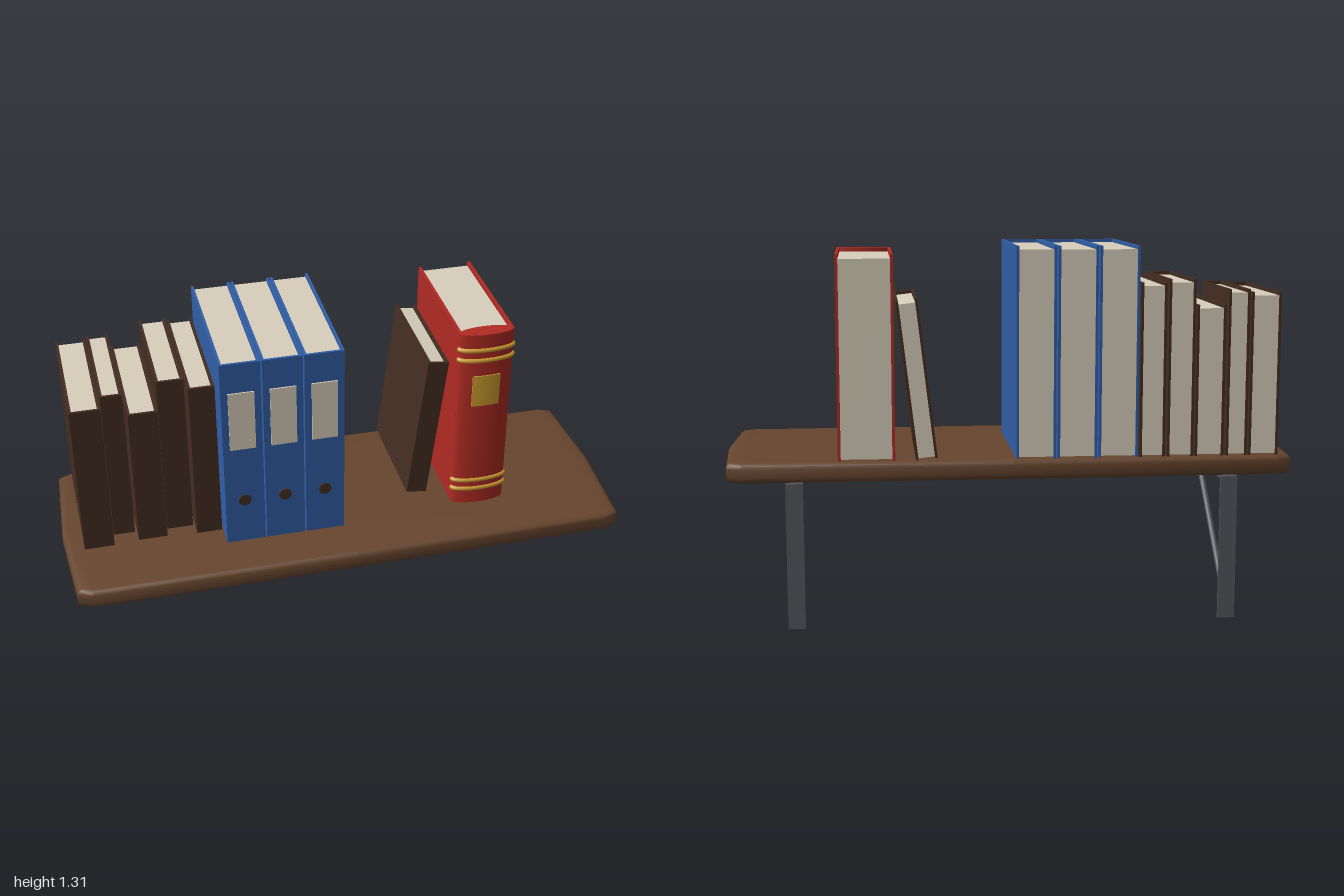
import * as THREE from 'three';
import { toCreasedNormals } from 'three/addons/utils/BufferGeometryUtils.js';

const mat = (name, color) => {
  const m = new THREE.MeshStandardMaterial({ color });
  m.name = name;
  return m;
};

export function createModel() {
  const wood = mat('wood', 0x66452e), leather = mat('dark leather', 0x432d22);
  const paper = mat('paper', 0xd8cfbc), blue = mat('blue card', 0x315fa6);
  const red = mat('red cloth', 0xb02b23), gold = mat('gold', 0xcb9a2f);
  const metal = mat('metal', 0x54565c);

  const root = new THREE.Group();
  root.name = 'bookshelf';

  const group = (name, parent = root) => {
    const g = new THREE.Group();
    g.name = name;
    parent.add(g);
    return g;
  };
  const add = (parent, name, geo, material) => {
    const m = new THREE.Mesh(geo, material);
    m.name = name;
    parent.add(m);
    return m;
  };
  // Box given by its lower and upper limits on each axis
  const box = (parent, name, material, [x0, x1], [y0, y1], [z0, z1]) => {
    const geo = new THREE.BoxGeometry(x1 - x0, y1 - y0, z1 - z0);
    geo.translate((x0 + x1) / 2, (y0 + y1) / 2, (z0 + z1) / 2);
    return add(parent, name, geo, material);
  };

  // Shelf board: bulging outline, clipped corners, rounded rim
  const outline = new THREE.Shape([
    [-0.93, -0.367], [0, -0.372], [0.93, -0.367], [0.98, -0.345], [1, 0],
    [0.98, 0.345], [0.93, 0.367], [0, 0.372], [-0.93, 0.367], [-0.98, 0.345],
    [-1, 0], [-0.98, -0.345],
  ].map(([x, y]) => new THREE.Vector2(x, y)));
  const board = new THREE.ExtrudeGeometry(outline, {
    depth: 0.03, bevelSize: 0.02, bevelThickness: 0.02, bevelOffset: -0.02, bevelSegments: 3,
  });
  board.rotateX(-Math.PI / 2).translate(0, 0.53, 0);
  add(root, 'shelfBoard', toCreasedNormals(board, 0.6), wood);

  // Wall brackets with a diagonal strut
  for (const [name, x] of [['rightBracket', -0.755], ['leftBracket', 0.75]]) {
    const g = group(name);
    const w = [x - 0.03, x + 0.03];
    box(g, 'wallPlate', metal, w, [0, 0.51], [-0.375, -0.366]);
    box(g, 'shelfPlate', metal, w, [0.5, 0.51], [-0.37, 0.25]);
    const a = new THREE.Vector3(x, 0.05, -0.366), b = new THREE.Vector3(x, 0.495, 0.125);
    const strut = add(g, 'strut', new THREE.CylinderGeometry(0.011, 0.011, a.distanceTo(b), 12), metal);
    strut.position.copy(a).lerp(b, 0.5);
    strut.quaternion.setFromUnitVectors(new THREE.Vector3(0, 1, 0), b.clone().sub(a).normalize());
  }

  // Square-backed book: two boards, a spine and a recessed page block
  const book = (name, cover, w, h, front, parent = root) => {
    const g = group(name, parent);
    const t = 0.009, back = -0.357;
    box(g, 'rightCover', cover, [-w / 2, -w / 2 + t], [0, h], [back, front]);
    box(g, 'leftCover', cover, [w / 2 - t, w / 2], [0, h], [back, front]);
    box(g, 'spine', cover, [-w / 2 + t, w / 2 - t], [0, h], [front - t, front]);
    box(g, 'pages', paper, [-w / 2 + t, w / 2 - t], [0.006, h - 0.012], [back + 0.004, front - t]);
    return g;
  };

  const top = 0.58;
  // Row of dark books: x limits, top, front
  [
    [-0.93, -0.825, 1.15, 0.12], [-0.82, -0.745, 1.16, 0.06], [-0.737, -0.635, 1.107, 0.11],
    [-0.63, -0.537, 1.196, 0.07], [-0.53, -0.44, 1.185, 0.12],
  ].forEach(([x0, x1, y, z], i) => {
    book('darkBook' + (i + 1), leather, x1 - x0, y - top, z).position.set((x0 + x1) / 2, top, 0);
  });

  // Blue binders with a label and a finger hole on the spine
  [-0.366, -0.223, -0.08].forEach((x, i) => {
    const g = book('binder' + (i + 1), blue, 0.138, 0.73, 0.2);
    g.position.set(x, top, 0);
    box(g, 'label', paper, [-0.045, 0.045], [0.393, 0.618], [0.199, 0.205]);
    const hole = new THREE.CylinderGeometry(0.022, 0.022, 0.006, 20);
    hole.rotateX(Math.PI / 2).translate(0, 0.178, 0.202);
    add(g, 'fingerHole', hole, leather);
  });

  // Book leaning on the red one
  const leaning = book('leaningBook', leather, 0.075, 0.55, 0.07);
  leaning.position.set(0.297, 0.585, 0);
  leaning.rotation.z = -0.118;

  // Thick red book with a rounded spine
  const thick = group('redBook');
  thick.position.set(0.503, top, 0);
  const hw = 0.098, H = 0.705;
  for (const s of [-1, 1]) {
    const x = [s * hw, s * (hw - 0.01)].sort((a, b) => a - b);
    box(thick, s < 0 ? 'rightCover' : 'leftCover', red, x, [0, H], [-0.35, 0.147]);
  }
  box(thick, 'pages', paper, [-hw + 0.01, hw - 0.01], [0.006, H - 0.015], [-0.346, 0.145]);

  // Upright slice of an elliptical column, used for the spine and its bands
  const column = (name, material, rx, rz, y, h) => {
    const geo = new THREE.CylinderGeometry(1, 1, h, 40);
    geo.scale(rx, 1, rz).translate(0, y + h / 2, 0.146);
    return add(thick, name, geo, material);
  };
  column('spine', red, hw, 0.03, 0, H);

  // Raised gold bands wrapping the spine
  for (const y of [0.063, 0.1, 0.604, 0.644]) {
    const path = new THREE.CatmullRomCurve3(Array.from({ length: 13 }, (_, i) => {
      const a = Math.PI * i / 12;
      return new THREE.Vector3(-hw * Math.cos(a), y, 0.146 + 0.028 * Math.sin(a));
    }));
    const band = new THREE.TubeGeometry(path, 24, 0.009, 8);
    add(thick, 'goldBand', band, gold);
  }

  // Gold title plate following the curve of the spine
  const plate = new THREE.BoxGeometry(0.1, 0.122, 0.006, 10, 1, 1);
  const p = plate.attributes.position;
  for (let i = 0; i < p.count; i++) {
    const x = p.getX(i);
    p.setZ(i, p.getZ(i) + 0.146 + 0.031 * Math.sqrt(1 - (x / hw) ** 2));
  }
  plate.translate(0, 0.482, 0);
  plate.computeVertexNormals();
  add(thick, 'titlePlate', plate, gold);

  return root;
}
